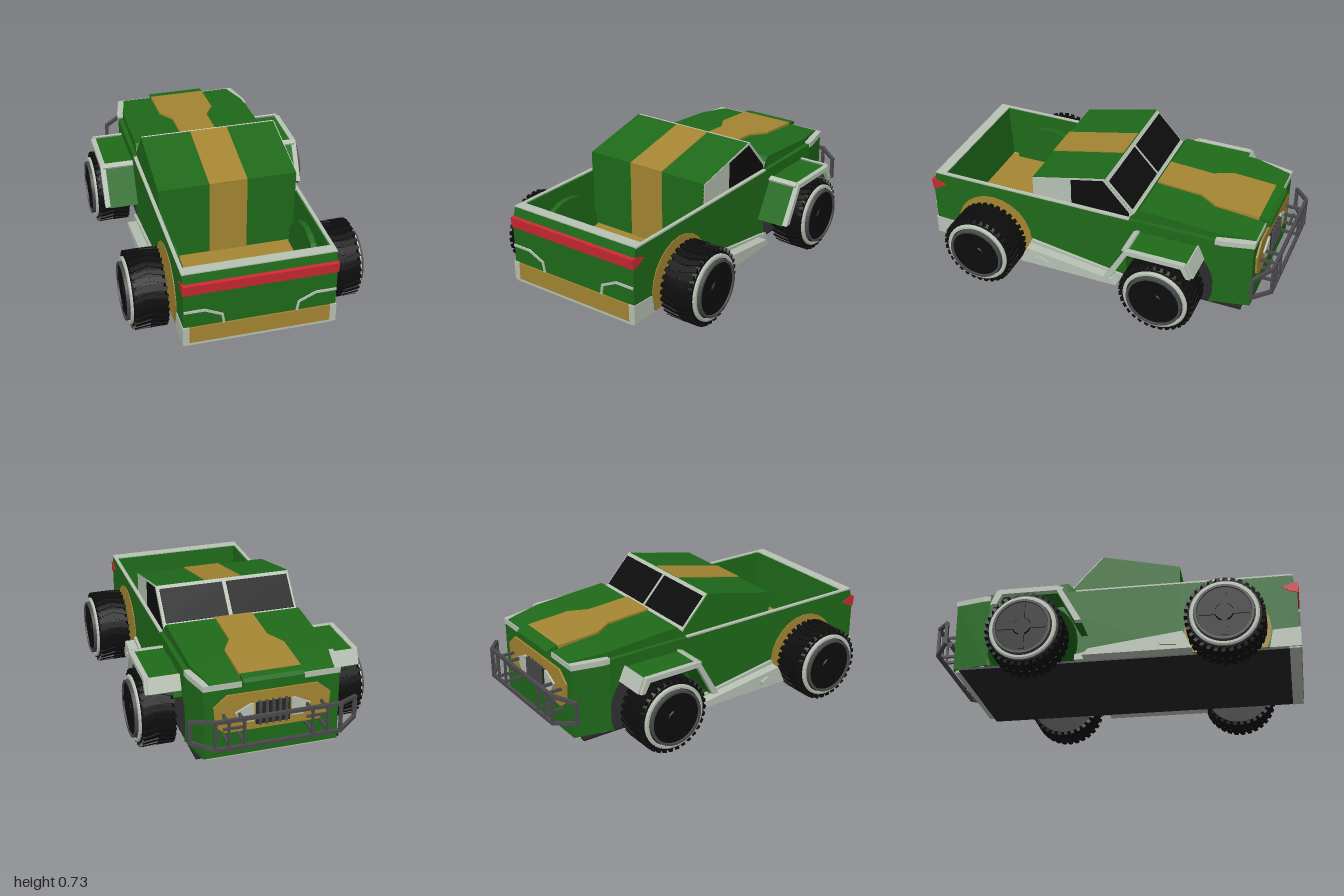
import * as THREE from 'three';

const mat = (c, side = THREE.FrontSide) => new THREE.MeshStandardMaterial({ color: c, flatShading: true, side });
const GREEN = mat(0x1f6a1a), OCHRE = mat(0xa58632), TRIM = mat(0xb8c2b4), RED = mat(0xcc2a33);
const DARK = mat(0x262626), STEEL = mat(0x4a4a4c), BLACK = mat(0x0d0d0d);

export function createModel() {
  const root = new THREE.Group();
  root.name = 'pickupTruck';

  const add = (name, geo, m, parent = root) => {
    const mesh = new THREE.Mesh(geo, m);
    mesh.name = name;
    parent.add(mesh);
    return mesh;
  };
  // box given by its extents
  const box = (name, m, x0, x1, y0, y1, z0, z1) =>
    add(name, new THREE.BoxGeometry(Math.abs(x1 - x0), y1 - y0, z1 - z0)
      .translate((x0 + x1) / 2, (y0 + y1) / 2, (z0 + z1) / 2), m);
  const shapeOf = (pts) => new THREE.Shape(pts.map((p) => new THREE.Vector2(p[0], p[1])));
  // side profile of [z, y] points, stretched from x0 to x1
  const profile = (name, m, pts, x0, x1) =>
    add(name, new THREE.ExtrudeGeometry(shapeOf(pts), { depth: Math.abs(x1 - x0), bevelEnabled: false })
      .rotateY(-Math.PI / 2).translate(Math.max(x0, x1), 0, 0), m);
  // plan outline of [x, z] points, stretched from y0 to y1
  const plan = (name, m, pts, y0, y1) =>
    add(name, new THREE.ExtrudeGeometry(shapeOf(pts.map(([x, z]) => [x, -z])), { depth: y1 - y0, bevelEnabled: false })
      .rotateX(-Math.PI / 2).translate(0, y0, 0), m);
  // front-on outline of [x, y] points, stretched from z0 to z1
  const plate = (name, m, pts, z0, z1) =>
    add(name, new THREE.ExtrudeGeometry(shapeOf(pts), { depth: z1 - z0, bevelEnabled: false }).translate(0, 0, z0), m);
  // thin sheet lying on the side-profile line p-q
  const slab = (name, m, p, q, t, x0, x1) => {
    const dz = q[0] - p[0], dy = q[1] - p[1], l = Math.hypot(dz, dy);
    const nz = (-dy / l) * t, ny = (dz / l) * t;
    return profile(name, m, [p, q, [q[0] + nz, q[1] + ny], [p[0] + nz, p[1] + ny]], x0, x1);
  };
  // square bars along a list of points
  const bars = (name, m, pts, t) => {
    for (let i = 0; i + 1 < pts.length; i++) {
      const a = new THREE.Vector3(...pts[i]), b = new THREE.Vector3(...pts[i + 1]);
      const bar = add(name, new THREE.BoxGeometry(t, t, a.distanceTo(b) + t * 0.6), m);
      bar.position.copy(a).add(b).multiplyScalar(0.5);
      bar.lookAt(b);
    }
  };
  // solid with rectangular cross-sections [z, halfWidth, yBottom, yTop], listed towards -z
  const loft = (name, m, secs) => {
    const pos = [], idx = [], n = secs.length;
    for (const [z, w, y0, y1] of secs) pos.push(-w, y0, z, w, y0, z, w, y1, z, -w, y1, z);
    for (let s = 0; s + 1 < n; s++) for (let k = 0; k < 4; k++) {
      const a = s * 4 + k, b = s * 4 + (k + 1) % 4;
      idx.push(a, a + 4, b, b, a + 4, b + 4);
    }
    const e = (n - 1) * 4;
    idx.push(0, 1, 2, 0, 2, 3, e, e + 2, e + 1, e, e + 3, e + 2);
    const g = new THREE.BufferGeometry();
    g.setAttribute('position', new THREE.Float32BufferAttribute(pos, 3));
    g.setIndex(idx);
    const flat = g.toNonIndexed();
    flat.computeVertexNormals();
    return add(name, flat, m);
  };

  // main body, with the front wheel arch cut through
  const body = [[0.37, 0.105], [0.37, 0.515], [-0.68, 0.515], [-0.68, 0.105]];
  for (let i = 0; i <= 16; i++) {
    const a = THREE.MathUtils.degToRad(205 - (i * 230) / 16);
    body.push([-0.435 + 0.25 * Math.cos(a), 0.21 + 0.25 * Math.sin(a)]);
  }
  profile('body', GREEN, body, -0.4, 0.4);
  plan('nose', GREEN, [[-0.4, -0.68], [0.4, -0.68], [0.36, -0.88], [-0.36, -0.88]], 0.11, 0.5);
  plan('noseTrim', TRIM, [[-0.402, -0.68], [0.402, -0.68], [0.4, -0.72], [0.362, -0.885], [-0.362, -0.885], [-0.4, -0.72]], 0.495, 0.525);
  box('underplate', DARK, -0.39, 0.39, 0.093, 0.105, -0.84, 0.96);
  plan('frontLip', TRIM, [[-0.39, -0.7], [0.39, -0.7], [0.35, -0.87], [-0.35, -0.87]], 0.097, 0.112);

  // hood and its raised stripe
  loft('hood', GREEN, [[-0.2, 0.385, 0.5, 0.525], [-0.25, 0.378, 0.5, 0.578], [-0.68, 0.372, 0.5, 0.548],
    [-0.82, 0.34, 0.5, 0.535], [-0.88, 0.33, 0.5, 0.525]]);
  loft('hoodStripe', OCHRE, [[-0.25, 0.105, 0.54, 0.588], [-0.5, 0.105, 0.54, 0.573], [-0.6, 0.162, 0.53, 0.566], [-0.845, 0.162, 0.52, 0.55]]);
  loft('hoodStripeTip', GREEN, [[-0.845, 0.162, 0.5, 0.55], [-0.89, 0.162, 0.5, 0.545], [-0.91, 0.158, 0.505, 0.53]]);

  // cab
  profile('cab', GREEN, [[0.37, 0.2], [0.37, 0.63], [-0.05, 0.722], [-0.215, 0.54], [-0.215, 0.5], [0.3, 0.2]], -0.378, 0.378);
  slab('roofStripe', OCHRE, [-0.05, 0.722], [0.374, 0.63], 0.004, -0.105, 0.105);
  box('cabBackStripe', OCHRE, -0.105, 0.105, 0.2, 0.634, 0.365, 0.374);
  slab('windshieldFrame', TRIM, [-0.222, 0.54], [-0.055, 0.722], 0.005, -0.379, 0.379);
  box('cowl', TRIM, -0.38, 0.38, 0.51, 0.553, -0.225, -0.2);
  for (const s of [-1, 1]) {
    slab('windshield', BLACK, [-0.205, 0.563], [-0.072, 0.708], 0.008, s * 0.012, s * 0.366);
    profile('sideFrame', s > 0 ? TRIM : GREEN, [[0.37, 0.515], [0.37, 0.628], [-0.05, 0.724], [-0.218, 0.54], [-0.218, 0.515]], s * 0.377, s * 0.382);
  }
  profile('sideWindow', BLACK, [[0.14, 0.525], [0.14, 0.672], [-0.045, 0.712], [-0.195, 0.545], [-0.195, 0.525]], 0.38, 0.385);

  // cargo bed
  box('bedFloor', OCHRE, -0.375, 0.375, 0.17, 0.2, 0.37, 0.93);
  profile('tailgate', GREEN, [[0.885, 0.105], [0.985, 0.105], [0.99, 0.42], [0.968, 0.515], [0.91, 0.515]], -0.4, 0.4);
  box('tailgateCap', TRIM, -0.4, 0.4, 0.512, 0.521, 0.91, 0.968);
  box('rearPanel', OCHRE, -0.37, 0.37, 0.11, 0.205, 0.97, 0.994);
  box('rearLip', TRIM, -0.395, 0.395, 0.093, 0.11, 0.93, 0.99);
  const tailLight = [[0.91, 0.445], [0.96, 0.415], [0.995, 0.408], [1.0, 0.465], [0.97, 0.468]];
  profile('tailLight', RED, tailLight, -0.405, 0.405);

  for (const s of [-1, 1]) {
    box('bedWall', GREEN, s * 0.375, s * 0.4, 0.105, 0.515, 0.365, 0.95);
    box('bedRail', TRIM, s * 0.383, s * 0.402, 0.512, 0.521, -0.2, 0.968);
    // rear wheel well: bulge inside the bed and liner outside
    const well = [];
    for (let i = 0; i <= 16; i++) {
      const a = THREE.MathUtils.degToRad(-28 + (i * 236) / 16);
      well.push([0.615 + 0.23 * Math.cos(a), 0.21 + 0.23 * Math.sin(a)]);
    }
    profile('wheelWell', GREEN, well, s * 0.345, s * 0.38);
    profile('wheelWellLiner', OCHRE, well, s * 0.39, s * 0.404);
    profile('rearCorner', TRIM, [[0.83, 0.1], [0.85, 0.2], [0.995, 0.207], [0.993, 0.1]], s * 0.37, s * 0.405);
    bars('tailgateTrim', TRIM, [[s * 0.395, 0.303, 0.99], [s * 0.29, 0.303, 0.99], [s * 0.2, 0.26, 0.988], [s * 0.192, 0.21, 0.987]], 0.012);

    // side skirt
    profile('skirt', TRIM, [[0.43, 0.1], [0.38, 0.222], [-0.14, 0.142], [-0.2, 0.13], [-0.2, 0.1]], s * 0.39, s * 0.415);
    profile('skirtStep', TRIM, [[0.43, 0.1], [0.385, 0.2], [-0.12, 0.135], [-0.15, 0.1]], s * 0.41, s * 0.468);
    profile('skirtBracket', TRIM, [[0.35, 0.12], [0.34, 0.15], [0.3, 0.165], [0.255, 0.145], [0.265, 0.125]], s * 0.46, s * 0.48);

    // front fender flare with a trim edge
    const flare = [[-0.615, 0.37], [-0.58, 0.452], [-0.25, 0.452], [-0.13, 0.24], [-0.165, 0.24], [-0.265, 0.425], [-0.56, 0.425], [-0.59, 0.37]];
    profile('flare', GREEN, flare, s * 0.395, s * 0.562);
    profile('flareEdge', TRIM, flare.map(([z, y]) => [z, y + 0.006]), s * 0.56, s * 0.588);
    slab('flareFront', TRIM, [-0.62, 0.378], [-0.585, 0.458], 0.01, s * 0.4, s * 0.575);
    slab('flareBand', TRIM, [-0.265, 0.452], [-0.235, 0.44], 0.012, s * 0.4, s * 0.575);

    // nose lights and bull bar half
    plate('headlight', TRIM, [[s * 0.1, 0.3], [s * 0.16, 0.3], [s * 0.2, 0.36], [s * 0.12, 0.4], [s * 0.1, 0.4]], -0.9, -0.88);
    for (const y of [0.22, 0.375])
      bars('bullBarRail', STEEL, [[0, y, -0.985], [s * 0.33, y, -0.985], [s * 0.44, y === 0.22 ? 0.24 : 0.355, -0.905]], 0.018);
    bars('bullBarEnd', STEEL, [[s * 0.44, 0.24, -0.905], [s * 0.44, 0.355, -0.905]], 0.018);
    bars('bullBarPost', STEEL, [[s * 0.33, 0.22, -0.985], [s * 0.33, 0.375, -0.985]], 0.016);
    for (const x of [0.18, 0.26]) {
      bars('bullBarPost', STEEL, [[s * x, 0.22, -0.985], [s * x, 0.375, -0.985]], 0.012);
      for (const y of [0.24, 0.355]) bars('bullBarMount', STEEL, [[s * x, y, -0.87], [s * x, y, -0.985]], 0.014);
    }
    bars('bullBarBrace', STEEL, [[s * 0.17, 0.3, -0.935], [s * 0.27, 0.3, -0.935]], 0.012);
  }

  // grille
  plate('grillePanel', OCHRE, [[-0.3, 0.29], [-0.25, 0.25], [0.25, 0.25], [0.3, 0.29], [0.31, 0.4], [0.24, 0.46], [-0.24, 0.46], [-0.31, 0.4]], -0.89, -0.87);
  box('grille', DARK, -0.09, 0.09, 0.28, 0.4, -0.9, -0.88);
  for (let i = -2; i <= 2; i++) box('grilleSlat', STEEL, i * 0.035 - 0.006, i * 0.035 + 0.006, 0.28, 0.41, -0.912, -0.89);

  // wheels, axis along local y before turning outwards
  const ring = (pts) => new THREE.LatheGeometry(pts.map((p) => new THREE.Vector2(p[0], p[1])), 36);
  const makeWheel = () => {
    const w = new THREE.Group();
    w.name = 'wheel';
    add('tyre', ring([[0, -0.085], [0.15, -0.085], [0.19, -0.085], [0.202, -0.07], [0.202, 0.07], [0.19, 0.088], [0.165, 0.095], [0, 0.085]]), BLACK, w);
    // chevron tread blocks
    for (let i = 0; i < 32; i++) for (const side of [-1, 1]) {
      const block = new THREE.BoxGeometry(0.022, 0.088, 0.022);
      block.rotateX(side * 0.28).translate(0.198, side * 0.044, 0).rotateY((i * Math.PI) / 16);
      add('tread', block, BLACK, w);
    }
    add('rimRing', ring([[0.16, 0.085], [0.18, 0.085], [0.18, 0.099], [0.172, 0.104], [0.16, 0.104], [0.16, 0.085]]), TRIM, w);
    add('innerRing', ring([[0.138, 0.085], [0.156, 0.085], [0.154, 0.12], [0.142, 0.12], [0.138, 0.085]]), STEEL, w);
    add('hubCover', ring([[0.15, 0.085], [0.14, 0.112], [0.05, 0.112], [0.045, 0.118], [0, 0.118]]), BLACK, w);
    for (const a of [0, Math.PI / 2])
      add('spoke', new THREE.BoxGeometry(0.26, 0.012, 0.03).rotateY(a).translate(0, 0.112, 0), BLACK, w);
    return w;
  };
  for (const s of [-1, 1]) for (const z of [-0.435, 0.615]) {
    const wheel = makeWheel();
    wheel.rotation.z = (-s * Math.PI) / 2;
    wheel.position.set(s * 0.52, 0.21, z);
    root.add(wheel);
  }
  return root;
}
